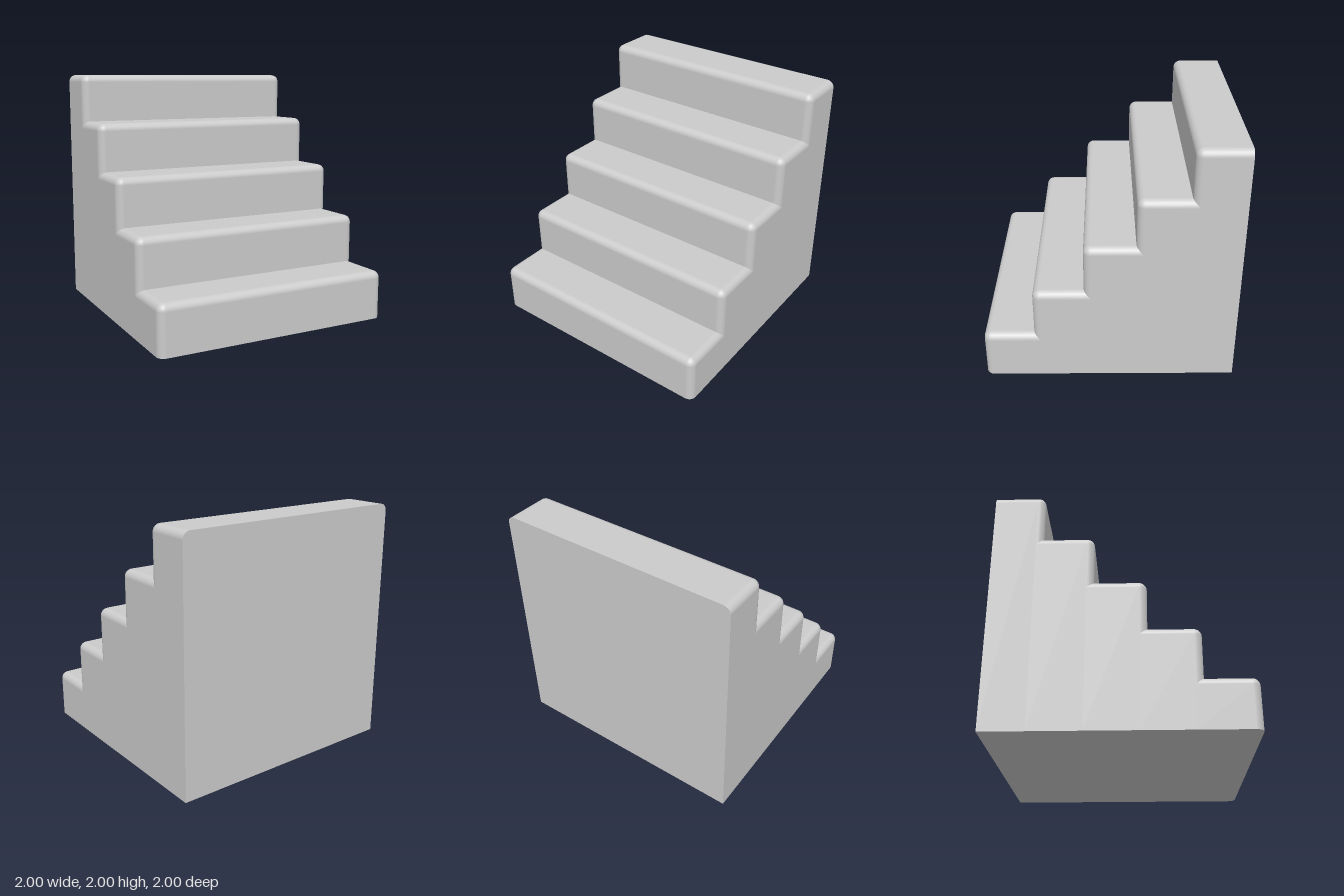
import * as THREE from 'three';

const STEPS = 5, SIZE = 0.4, R = 0.06, SEG = 6;

// One step: a block with rounded top and front edges, sharp at floor and back.
function stepGeometry(height, back, front, showBack) {
  const pos = [], nor = [], idx = [];
  const add = (p, n) => pos.push(...p) && nor.push(...n) && pos.length / 3 - 1;
  const fan = (points, normal) => {
    const ids = points.map((p) => add(p, normal));
    for (let i = 1; i < ids.length - 1; i++) idx.push(ids[0], ids[i], ids[i + 1]);
  };

  // horizontal loop running right side, front, left side; t is the tilt of the top rounding
  const loop = (y, t) => {
    const c = Math.cos(t), s = Math.sin(t), pts = [], nrm = [];
    const put = (x, z, nx, nz) => { pts.push([x, y, z]); nrm.push([nx * c, s, nz * c]); };
    put(1 - R + R * c, back, 1, 0);
    for (const side of [1, -1]) {
      for (let i = 0; i <= SEG; i++) {
        const a = (i / SEG + (side < 0 ? 1 : 0)) * Math.PI / 2;
        const nx = Math.cos(a), nz = Math.sin(a);
        put(side * (1 - R) + R * c * nx, front - R + R * c * nz, nx, nz);
      }
    }
    put(-(1 - R + R * c), back, -1, 0);
    return { pts, nrm };
  };

  const loops = [loop(0, 0)];
  for (let i = 0; i <= SEG; i++) {
    const t = i / SEG * Math.PI / 2;
    loops.push(loop(height - R + R * Math.sin(t), t));
  }

  // skin between neighbouring loops
  const rows = loops.map((l) => l.pts.map((p, i) => add(p, l.nrm[i])));
  for (let j = 0; j < rows.length - 1; j++) {
    const lo = rows[j], hi = rows[j + 1];
    for (let i = 0; i < lo.length - 1; i++) {
      idx.push(lo[i], hi[i], lo[i + 1], lo[i + 1], hi[i], hi[i + 1]);
    }
  }

  // flat tread, underside and back
  fan([...loops.at(-1).pts].reverse(), [0, 1, 0]);
  fan(loops[0].pts, [0, -1, 0]);
  if (showBack) {
    const right = loops.map((l) => l.pts[0]);
    const left = loops.map((l) => l.pts.at(-1));
    fan([...left, ...right.reverse()], [0, 0, -1]);
  }

  const geo = new THREE.BufferGeometry();
  geo.setAttribute('position', new THREE.Float32BufferAttribute(pos, 3));
  geo.setAttribute('normal', new THREE.Float32BufferAttribute(nor, 3));
  geo.setIndex(idx);
  return geo;
}

export function createModel() {
  const group = new THREE.Group();
  group.name = 'staircase';
  const material = new THREE.MeshStandardMaterial({ color: 0xcccccc });

  // each block reaches slightly into the taller one behind it
  for (let i = 0; i < STEPS; i++) {
    const last = i === STEPS - 1;
    const front = 1 - SIZE * i;
    const back = last ? -1 : front - SIZE - R;
    const step = new THREE.Mesh(stepGeometry(SIZE * (i + 1), back, front, last), material);
    step.name = `step${i + 1}`;
    group.add(step);
  }
  return group;
}
